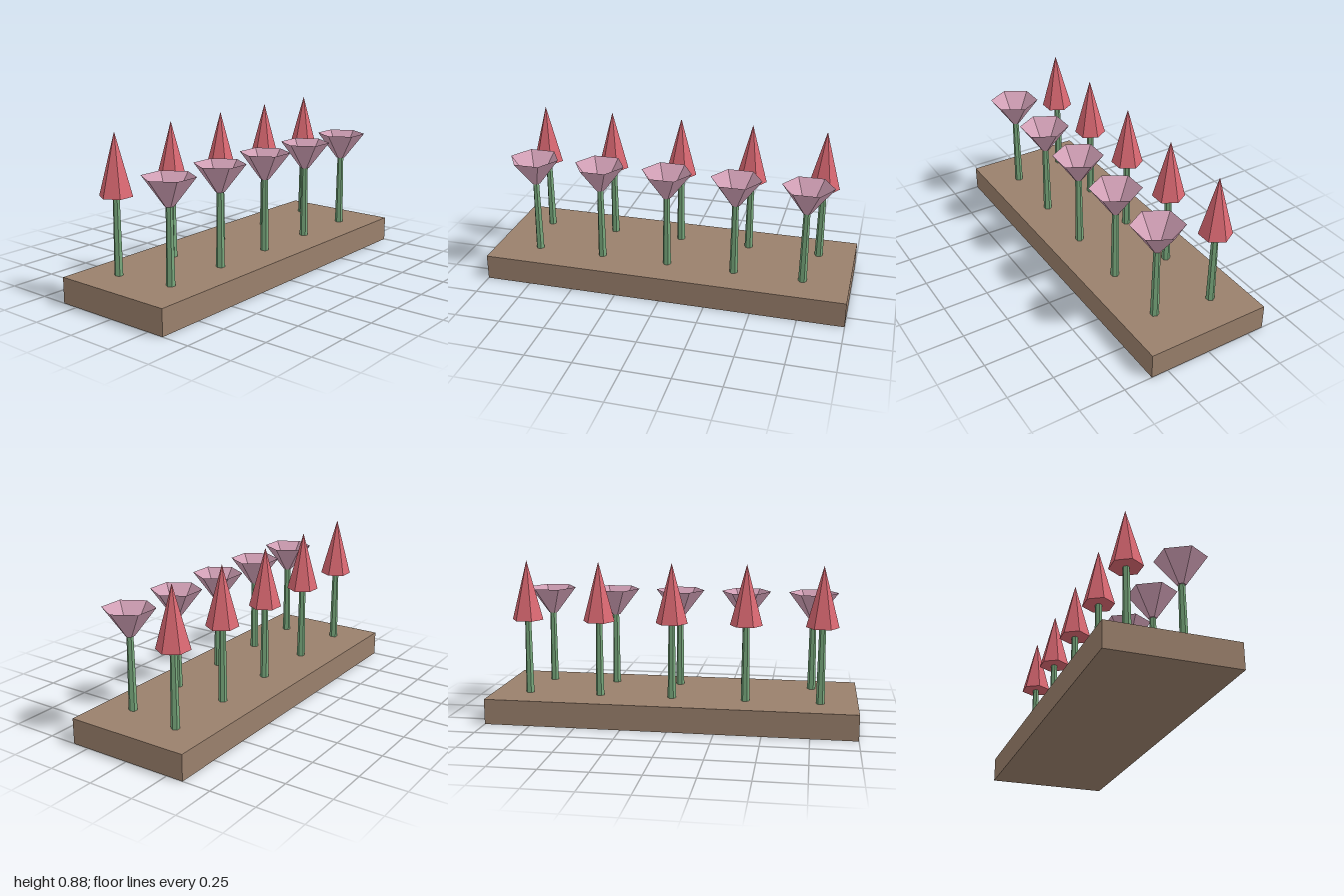
import * as THREE from 'three';

const paint = (name, color, extra = {}) => {
  const m = new THREE.MeshStandardMaterial({ color, flatShading: true, ...extra });
  m.name = name;
  return m;
};

export function createModel() {
  const soil = paint('soil brown', 0x9a806c);
  const green = paint('stem green', 0x78a87c);
  const red = paint('bud red', 0xda6872);
  const pink = paint('petal pink', 0xd4a2b8, { side: THREE.DoubleSide });

  const model = new THREE.Group();
  model.name = 'flowerBed';
  const baseTop = 0.139;

  const add = (parent, name, geometry, material, y) => {
    const mesh = new THREE.Mesh(geometry, material);
    mesh.name = name;
    mesh.position.y = y;
    parent.add(mesh);
    return mesh;
  };

  // six-sided tapered solid, corners pointing along x
  const hex = (rTop, rBottom, height, open = false) =>
    new THREE.CylinderGeometry(rTop, rBottom, height, 6, 1, open, Math.PI / 2);

  // stem standing on the bed
  const addStem = (flower, top) => {
    const h = top - baseTop;
    add(flower, 'stem', hex(0.0175, 0.023, h), green, baseTop + h / 2);
  };

  // planting bed
  add(model, 'bed', new THREE.BoxGeometry(2, baseTop, 0.688), soil, baseTop / 2);

  for (let i = -2; i <= 2; i++) {
    // back row: pointed closed buds
    const bud = new THREE.Group();
    bud.name = 'budFlower';
    bud.position.set(i * 0.4, 0, -0.15);
    addStem(bud, 0.551);
    add(bud, 'budHead', hex(0, 0.087, 0.324), red, 0.551 + 0.162);
    model.add(bud);

    // front row: open cups with a small floor
    const cup = new THREE.Group();
    cup.name = 'cupFlower';
    cup.position.set(i * 0.375, 0, 0.163);
    addStem(cup, 0.539);
    add(cup, 'cupPetals', hex(0.137, 0.024, 0.149, true), pink, 0.539 + 0.0745);
    const floor = add(cup, 'cupFloor', new THREE.CircleGeometry(0.024, 6), pink, 0.541);
    floor.rotation.x = -Math.PI / 2;
    model.add(cup);
  }
  return model;
}
